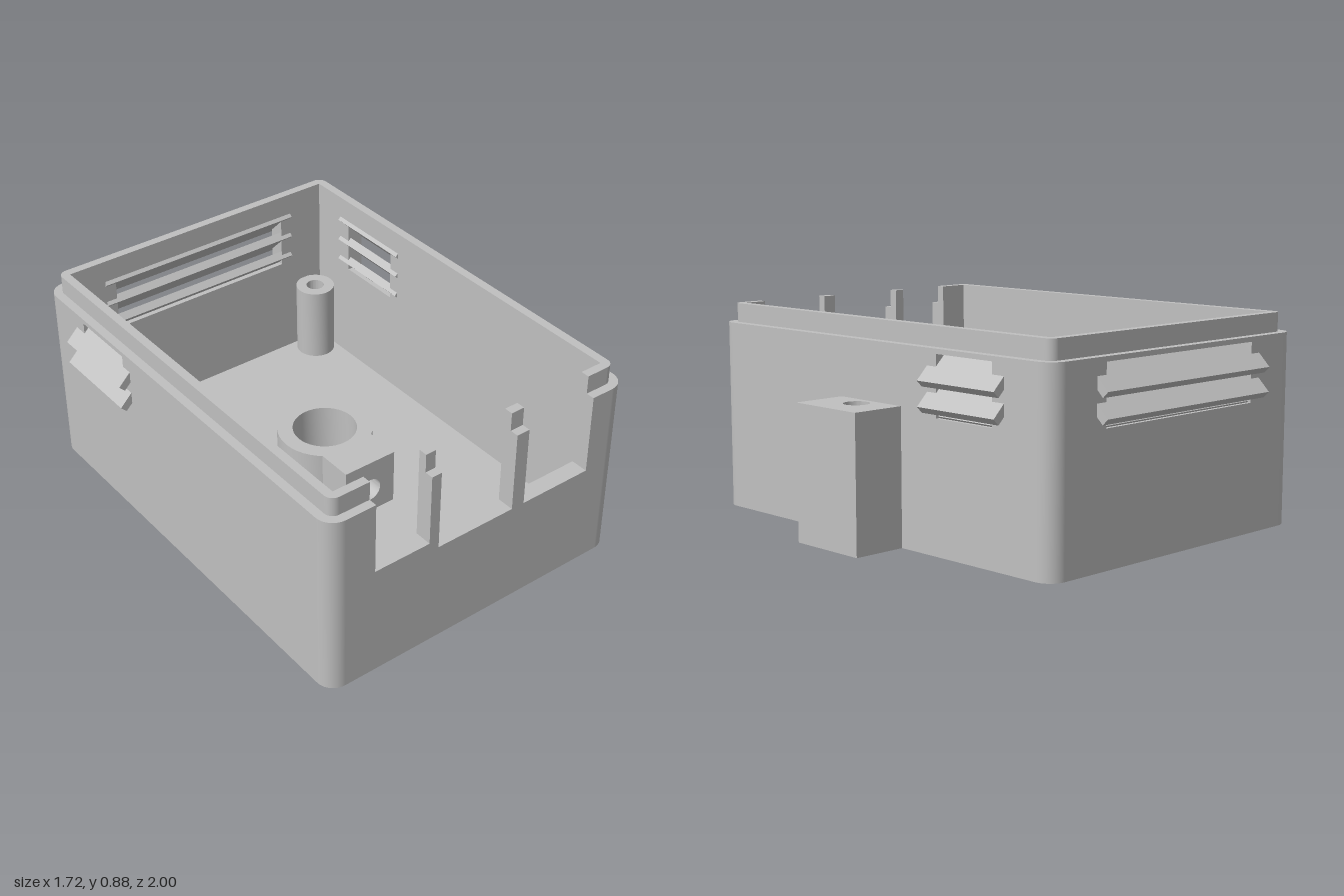
import * as THREE from 'three';
import { toCreasedNormals } from 'three/addons/utils/BufferGeometryUtils.js';

const grey = new THREE.MeshStandardMaterial({ color: 0xc0c0c0 });
grey.name = 'housing grey';

// Main plan: inner cavity, wall thickness and heights
const X0 = -0.735, X1 = 0.555, Z0 = -0.875, Z1 = 0.925;
const T = 0.075, LIP = 0.0375, WALL_H = 0.8, LIP_H = 0.88, FLOOR_H = 0.08;

function outline(points) {
  return new THREE.Shape(points.map(([x, y]) => new THREE.Vector2(x, y)));
}
const rect = (x0, y0, x1, y1) => outline([[x0, y0], [x1, y0], [x1, y1], [x0, y1]]);
function circle(x, y, r) {
  const s = new THREE.Shape();
  s.absarc(x, y, r, 0, Math.PI * 2, false);
  return s;
}
function cut(shape, ...holes) {
  shape.holes.push(...holes);
  return shape;
}
const extrude = (shape, depth) =>
  toCreasedNormals(new THREE.ExtrudeGeometry(shape, { depth, bevelEnabled: false, curveSegments: 20 }), 0.6);

// Plan shape (x, z) raised from y0 to y1
const slab = (shape, y0, y1) => extrude(shape, y1 - y0).rotateX(Math.PI / 2).translate(0, y1, 0);
// Elevation shape (x, y) thickened from z0 to z1
const upright = (shape, z0, z1) => extrude(shape, z1 - z0).translate(0, 0, z0);
// Elevation shape (-z, y) thickened from x0 to x1
const sideways = (shape, x0, x1) => extrude(shape, x1 - x0).rotateY(Math.PI / 2).translate(x0, 0, 0);

export function createModel() {
  const model = new THREE.Group();
  model.name = 'ventedEnclosure';
  function add(name, geometry, parent = model) {
    const mesh = new THREE.Mesh(geometry, grey);
    mesh.name = name;
    parent.add(mesh);
    return mesh;
  }

  // Floor in two layers, so the screw holes are counterbored from below
  const screws = [[0.465, -0.79], [-0.65, 0.835]];
  const hub = [-0.09, 0.02];
  const floorLayer = (screwRadius) => cut(
    rect(X0, Z0, X1, Z1),
    circle(...hub, 0.135),
    circle(0.34, 0.655, 0.033),
    rect(-0.665, 0.27, -0.38, 0.435),
    ...screws.map(([x, z]) => circle(x, z, screwRadius)));
  add('floorBottom', slab(floorLayer(0.075), 0, 0.05));
  add('floorTop', slab(floorLayer(0.04), 0.05, FLOOR_H));

  // Front wall with three notches open at the top
  const notches = [[-0.6, -0.345, 0.49], [-0.3, 0.065, 0.45], [0.125, 0.455, 0.45]];
  const front = [[X0, 0], [X1, 0], [X1, WALL_H]];
  for (const [a, b, sill] of [...notches].reverse()) {
    front.push([b, WALL_H], [b, sill], [a, sill], [a, WALL_H]);
  }
  front.push([X0, WALL_H]);
  add('frontWall', upright(outline(front), Z1, Z1 + T));

  // Back and side walls with vent windows
  const V0 = 0.535, V1 = 0.78;
  add('backWall', upright(cut(rect(X0, 0, X1, WALL_H), rect(-0.525, V0, 0.34, V1)), Z0 - T, Z0));
  const sideWall = () => cut(rect(-Z1, 0, -Z0, WALL_H), rect(0.355, V0, 0.655, V1));
  add('leftWall', sideways(sideWall(), X1, X1 + T));
  add('rightWall', sideways(sideWall(), X0 - T, X0));

  // Rounded corners of the wall and of the lip
  const corners = [[X1, Z1, 0], [X1, Z0, 1], [X0, Z0, 2], [X0, Z1, 3]];
  for (const [x, z, quarter] of corners) {
    for (const [name, r, y0, y1] of [['wallCorner', T, 0, WALL_H], ['lipCorner', LIP, WALL_H, LIP_H]]) {
      const g = new THREE.CylinderGeometry(r, r, y1 - y0, 10, 1, false, quarter * Math.PI / 2, Math.PI / 2);
      add(name, g.translate(x, (y0 + y1) / 2, z));
    }
  }

  // Raised lip, interrupted by the front notches
  const lip = (name, x0, z0, x1, z1) => add(name, slab(rect(x0, z0, x1, z1), WALL_H, LIP_H));
  lip('backLip', X0, Z0 - LIP, X1, Z0);
  lip('leftLip', X1, Z0, X1 + LIP, Z1);
  lip('rightLip', X0 - LIP, Z0, X0, Z1);
  let start = X0;
  for (const [a, b] of [...notches, [X1, X1]]) {
    lip('frontLip', start, Z1, a, Z1 + LIP);
    start = b;
  }

  // Louvres: slats sloping down and outward; the lowest ends inside the wall
  function louvre(name, width, x, z, turn) {
    const group = new THREE.Group();
    group.name = name;
    [[0.795, 0.163], [0.695, 0.163], [0.595, 0.075]].forEach(([top, length]) => {
      const thick = 0.035, half = (length + thick) * Math.SQRT1_2 / 2;
      const g = new THREE.BoxGeometry(width, thick, length).rotateX(Math.PI / 4);
      add('slat', g.translate(0, top - half, half - 0.0875), group);
    });
    group.position.set(x, 0, z);
    group.rotation.y = turn;
    model.add(group);
  }
  louvre('backLouvre', 0.965, -0.0925, Z0 - T, Math.PI);
  louvre('leftLouvre', 0.41, X1 + T, -0.51, Math.PI / 2);
  louvre('rightLouvre', 0.41, X0 - T, -0.51, -Math.PI / 2);

  // Screw bosses in opposite corners
  for (const [x, z] of screws) {
    add('screwBoss', slab(cut(circle(x, z, 0.087), circle(x, z, 0.04)), FLOOR_H, 0.42));
  }

  // Central hub ring with a clamp block bored from the front
  add('hubRing', slab(cut(circle(...hub, 0.2), circle(...hub, 0.135)), FLOOR_H, 0.33));
  add('clampBlock', upright(cut(rect(-0.217, FLOOR_H, 0.033, 0.33), circle(hub[0], 0.19, 0.052)), 0.17, 0.33));

  // Outside mounting block with a blind hole in its top
  const mount = () => rect(X1 + T, -0.155, 0.86, 0.2);
  add('mountBase', slab(mount(), 0, 0.16));
  add('mountTop', slab(cut(mount(), circle(0.705, 0.02, 0.053)), 0.16, 0.56));

  return model;
}
